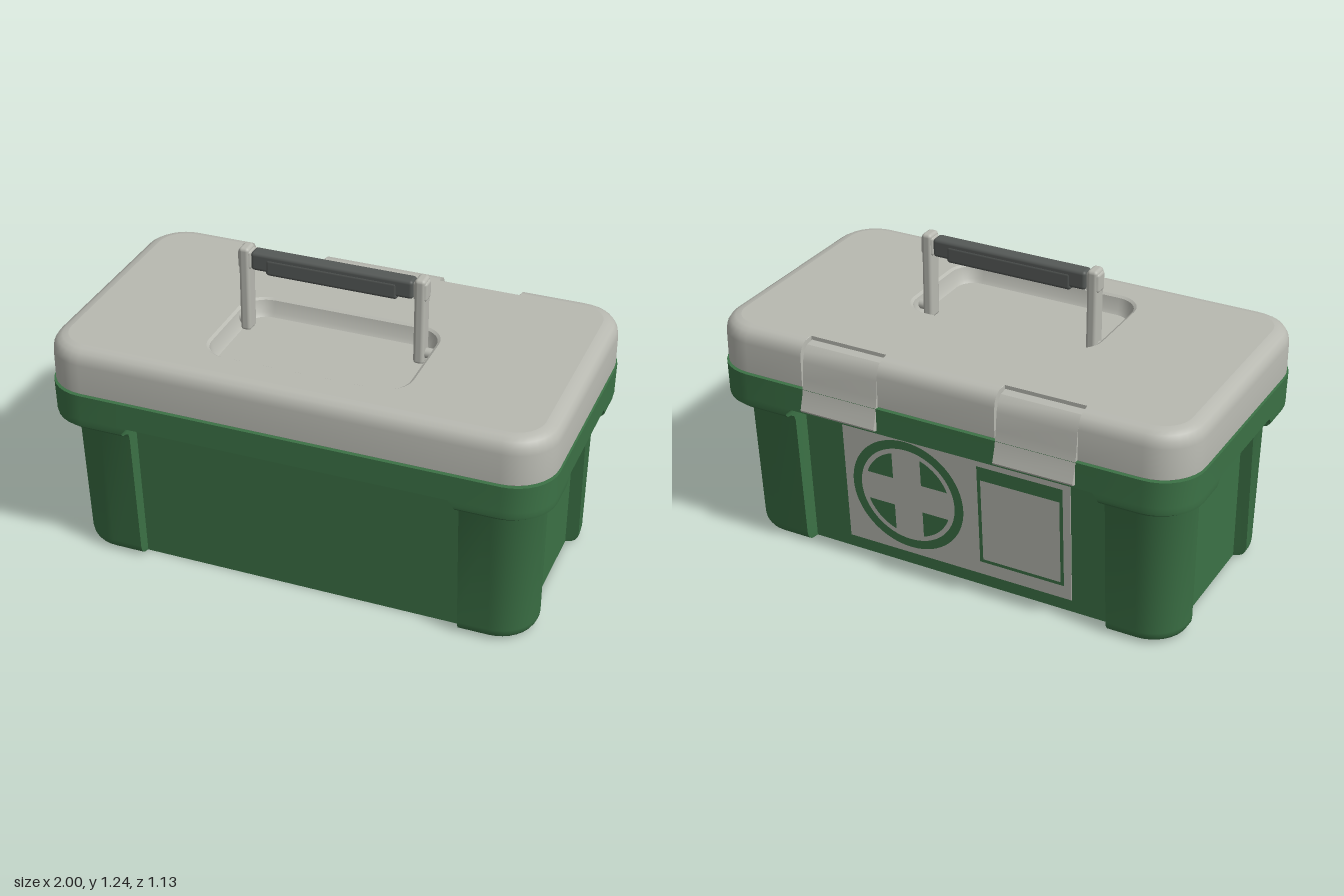
import * as THREE from 'three';
import { mergeGeometries, toCreasedNormals } from 'three/addons/utils/BufferGeometryUtils.js';
import { RoundedBoxGeometry } from 'three/addons/geometries/RoundedBoxGeometry.js';

const mat = (name, color) => new THREE.MeshStandardMaterial({ name, color });
const CZ = 0.01; // the case sits slightly forward of the latches
const frontPanel = (y) => 0.4 + 0.06 * y; // sloping wall panels
const backPanel = (y) => 0.385 + 0.06 * y;

function mesh(name, geo, material, parent) {
  const m = new THREE.Mesh(geo, material);
  m.name = name;
  parent.add(m);
  return m;
}

// Rounded rectangle as [x, z] points; each side may hold notches {from, to, at}
function outline(hx, hz, r, notches = {}, cz = CZ) {
  const pts = [];
  const sides = [['front', hx, hz], ['left', hz, hx], ['back', hx, hz], ['right', hz, hx]];
  sides.forEach(([side, half, dist], s) => {
    const turn = (u, d) => [[u, d], [d, -u], [-u, -d], [-d, u]][s];
    for (const { from, to, at } of notches[side] || []) {
      const d = Math.min(dist, at);
      pts.push(turn(from, dist), turn(from + 0.003, d), turn(to - 0.003, d), turn(to, dist));
    }
    for (let i = 0; i <= 8; i++) {
      const a = (i / 8) * Math.PI / 2;
      pts.push(turn(half - r + r * Math.sin(a), dist - r + r * Math.cos(a)));
    }
  });
  return pts.map(([x, z]) => [x, z + cz]);
}

// Skin between successive rings {y, pts}, smooth except at sharp edges
function loft(rings) {
  const pos = [];
  for (let k = 0; k + 1 < rings.length; k++) {
    const lo = rings[k], hi = rings[k + 1], n = lo.pts.length;
    for (let i = 0; i < n; i++) {
      const j = (i + 1) % n;
      const a = [lo.pts[i][0], lo.y, lo.pts[i][1]], b = [lo.pts[j][0], lo.y, lo.pts[j][1]];
      const c = [hi.pts[j][0], hi.y, hi.pts[j][1]], d = [hi.pts[i][0], hi.y, hi.pts[i][1]];
      const same = (p, q) => Math.hypot(p[0] - q[0], p[1] - q[1], p[2] - q[2]) < 1e-6;
      if (!same(b, c)) pos.push(...a, ...b, ...c);
      if (!same(a, d)) pos.push(...a, ...c, ...d);
    }
  }
  const g = new THREE.BufferGeometry();
  g.setAttribute('position', new THREE.Float32BufferAttribute(pos, 3));
  return toCreasedNormals(g, 0.6);
}

// Flat cap on a ring, facing up or down, with an optional hole
function cap({ y, pts }, up, hole) {
  const s = up ? -1 : 1;
  const flat = (list) => list.map(([x, z]) => new THREE.Vector2(x, s * z));
  const shape = new THREE.Shape(flat(pts));
  if (hole) shape.holes.push(new THREE.Path(flat(hole)));
  const g = new THREE.ShapeGeometry(shape).rotateX(s * Math.PI / 2).translate(0, y, 0).toNonIndexed();
  g.deleteAttribute('uv');
  return g;
}

function makeCase() {
  // y, half width, half depth, corner radius, panel recess, panel narrowing
  const rows = [
    [0, 0.885, 0.406, 0.13, 1, 0], [0.004, 0.904, 0.424, 0.135, 1, 0], [0.015, 0.92, 0.439, 0.14, 1, 0],
    [0.03, 0.929, 0.448, 0.148, 1, 0], [0.05, 0.932, 0.452, 0.15, 1, 0],
    [0.58, 0.932, 0.488, 0.15, 1, 0], [0.603, 0.94, 0.497, 0.15, 1, 0], [0.615, 0.96, 0.517, 0.16, 1, 0],
    [0.619, 0.982, 0.538, 0.17, 1, 0], [0.633, 0.996, 0.552, 0.17, 1, 0], [0.645, 0.998, 0.554, 0.17, 1, 0.004],
    [0.664, 0.998, 0.554, 0.17, 1, 0.022], [0.664, 0.998, 0.554, 0.17, 0, 0.022],
    [0.77, 1, 0.556, 0.17, 0, 0], [0.77, 0.982, 0.537, 0.16, 0, 0], [0.785, 0.982, 0.537, 0.16, 0, 0],
  ];
  const rings = rows.map(([y, hx, hz, r, cut, w]) => {
    const notch = (half, at) => [{ from: -half + w, to: half - w, at: cut ? at : 9 }];
    const end = notch(0.27 - 0.015 * y, 0.88 + 0.01 * y);
    return { y, pts: outline(hx, hz, r, { front: notch(0.66, frontPanel(y)), back: notch(0.66, backPanel(y)), left: end, right: end }) };
  });
  return mergeGeometries([loft(rings), cap(rings[0], false), cap(rings.at(-1), true)]);
}

function makeLid() {
  const latchNotches = { back: [{ from: -0.578, to: -0.245, at: 0.475 }, { from: 0.245, to: 0.578, at: 0.475 }] };
  const rows = [[0.774, 0.99, 0.545], [0.778, 0.995, 0.55], [0.9, 0.995, 0.55], [0.925, 0.99, 0.545],
    [0.945, 0.977, 0.532], [0.956, 0.958, 0.513], [0.96, 0.935, 0.49]];
  const rings = rows.map(([y, hx, hz]) => ({ y, pts: outline(hx, hz, hx - 0.825, latchNotches) }));
  // Recess for the folded handle
  const well = [[0.96, 0.408, 0.248], [0.953, 0.397, 0.237], [0.905, 0.386, 0.226], [0.89, 0.374, 0.214]]
    .map(([y, hx, hz]) => ({ y, pts: outline(hx, hz, hx - 0.3, {}, 0.15) }));
  return mergeGeometries([loft(rings), cap(rings[0], false), cap(rings.at(-1), true, well[0].pts),
    loft(well), cap(well.at(-1), true)]);
}

function makeLatch() {
  const profile = [[-0.46, 0.945], [-0.5, 0.941], [-0.522, 0.92], [-0.533, 0.88], [-0.539, 0.81], [-0.55, 0.745],
    [-0.567, 0.69], [-0.563, 0.682], [-0.54, 0.676], [-0.53, 0.74], [-0.52, 0.776], [-0.46, 0.776]];
  const g = new THREE.ExtrudeGeometry(new THREE.Shape(profile.map((p) => new THREE.Vector2(...p))),
    { depth: 0.322, bevelEnabled: false });
  return toCreasedNormals(g.translate(0, 0, -0.161).rotateY(-Math.PI / 2), 0.6);
}

const rectPath = (Type, x0, y0, x1, y1) => new Type([[x0, y0], [x1, y0], [x1, y1], [x0, y1]].map((p) => new THREE.Vector2(...p)));

// Back label: pale plate with a ringed cross and a framed box
function makeLabel(pale, green) {
  const label = new THREE.Group();
  label.name = 'backLabel';
  mesh('labelPlate', new THREE.BoxGeometry(0.98, 0.55, 0.004), pale, label);
  const marks = [];
  const ring = new THREE.Shape().absarc(-0.21, 0, 0.245, 0, Math.PI * 2);
  ring.holes.push(new THREE.Path().absarc(-0.21, 0, 0.207, 0, Math.PI * 2));
  marks.push(ring);
  const w = 0.062, R = 0.187, a0 = Math.asin(w / R);
  for (let q = 0; q < 4; q++) { // green quarters leave the cross between them
    const pts = [new THREE.Vector2(w, w)];
    for (let i = 0; i <= 10; i++) {
      const a = a0 + (Math.PI / 2 - 2 * a0) * i / 10;
      pts.push(new THREE.Vector2(R * Math.cos(a), R * Math.sin(a)));
    }
    const origin = new THREE.Vector2();
    marks.push(new THREE.Shape(pts.map((p) => p.rotateAround(origin, q * Math.PI / 2).add(new THREE.Vector2(-0.21, 0)))));
  }
  const frame = rectPath(THREE.Shape, 0.1, -0.215, 0.46, 0.225);
  frame.holes.push(rectPath(THREE.Path, 0.114, -0.201, 0.446, 0.165));
  marks.push(frame);
  mesh('labelMarks', new THREE.ShapeGeometry(marks, 32).translate(0, 0, 0.005), green, label);
  label.position.set(0, 0.33, CZ - backPanel(0.33) - 0.002);
  label.rotation.set(Math.atan(0.06), Math.PI, 0, 'YXZ');
  return label;
}

function makeHandle(pale, dark) {
  const handle = new THREE.Group();
  handle.name = 'handle';
  for (const s of [-1, 1]) {
    mesh('handleArm', new RoundedBoxGeometry(0.043, 0.355, 0.066, 3, 0.014), pale, handle).position.set(s * 0.352, 1.0625, 0);
    mesh('armCap', new RoundedBoxGeometry(0.055, 0.078, 0.056, 3, 0.012), pale, handle).position.set(s * 0.352, 1.19, 0);
    mesh('hingePin', new THREE.CylinderGeometry(0.02, 0.02, 0.06, 16).rotateZ(Math.PI / 2), pale, handle)
      .position.set(s * 0.37, 0.925, 0);
  }
  mesh('grip', new RoundedBoxGeometry(0.65, 0.076, 0.06, 3, 0.014), dark, handle).position.y = 1.19;
  mesh('gripPad', new RoundedBoxGeometry(0.53, 0.072, 0.064, 3, 0.014), dark, handle).position.y = 1.176;
  handle.position.set(-0.009, 0, 0.032);
  return handle;
}

export function createModel() {
  const green = mat('caseGreen', 0x3c7246);
  const pale = mat('paleGrey', 0xb8b9b1);
  const dark = mat('gripGrey', 0x555957);
  const model = new THREE.Group();
  model.name = 'firstAidCase';

  mesh('case', makeCase(), green, model);
  mesh('lid', makeLid(), pale, model);
  for (const s of [-1, 1]) mesh('latch', makeLatch(), pale, model).position.x = s * 0.4115;
  model.add(makeLabel(pale, green), makeHandle(pale, dark));
  return model;
}
